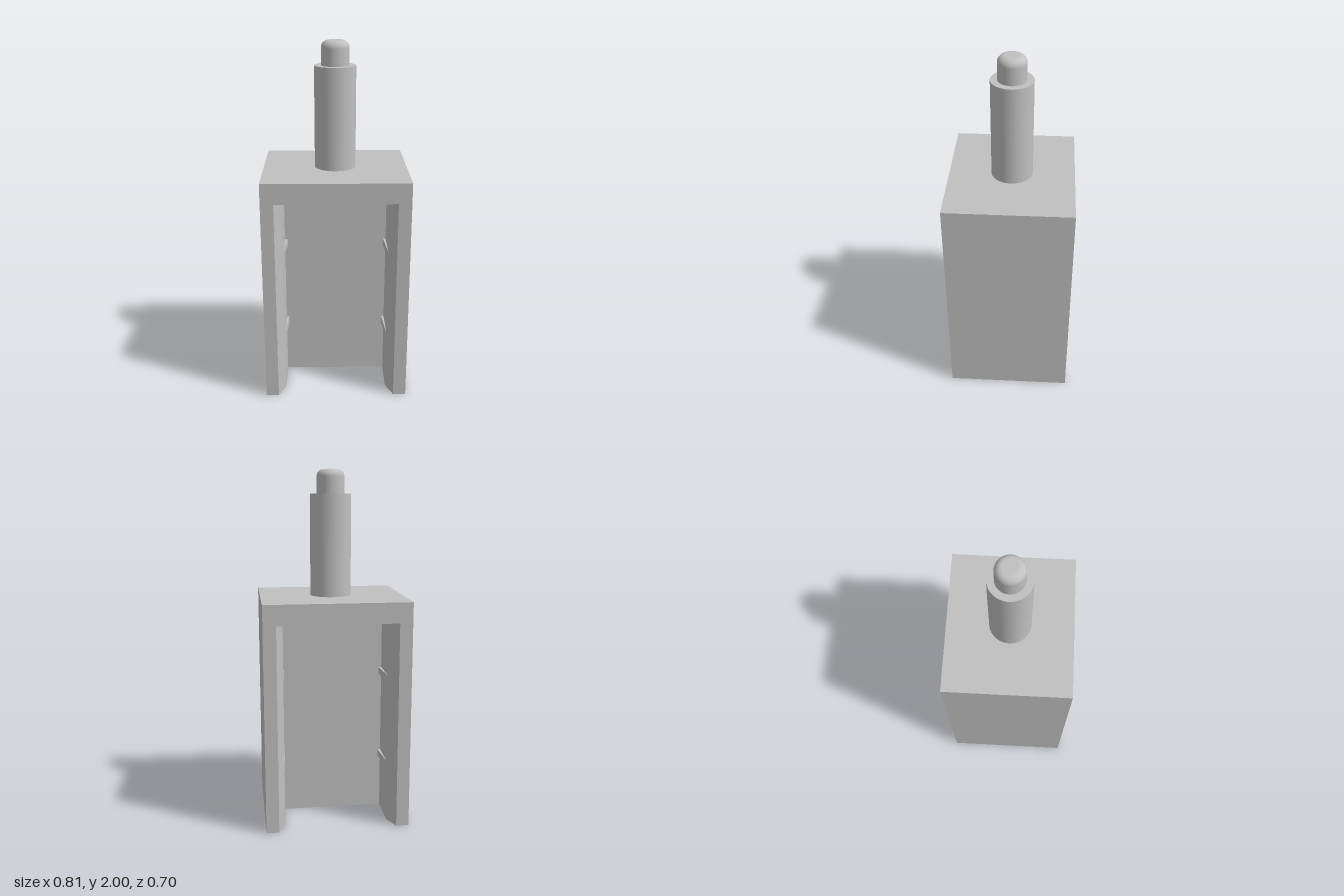
import * as THREE from 'three';

const HX = 0.407, HZ = 0.352;      // half width and half depth of the housing
const TOP = 1.295, ROOF = 1.18;    // housing top and underside of the cap
const WALL_IN = 0.295, MOUTH = 0.335, CHAMFER_Z = 0.26; // wall inner face, flared mouth
const WEB = 0.05;                  // half thickness of the central web

// Extrude an outline given as [x, z] points upward from y0
function prism(points, y0, height) {
  const shape = new THREE.Shape(points.map(([x, z]) => new THREE.Vector2(x, -z)));
  const geo = new THREE.ExtrudeGeometry(shape, { depth: height, bevelEnabled: false });
  return geo.rotateX(-Math.PI / 2).translate(0, y0, 0);
}

export function createModel() {
  const model = new THREE.Group();
  model.name = 'plungerHousing';
  const grey = new THREE.MeshStandardMaterial({ color: 0xc0c0c0 });
  grey.name = 'plain grey';

  const add = (parent, name, geo) => {
    const mesh = new THREE.Mesh(geo, grey);
    mesh.name = name;
    parent.add(mesh);
    return mesh;
  };

  // Cap block across the top
  add(model, 'cap', new THREE.BoxGeometry(2 * HX, TOP - ROOF, 2 * HZ).translate(0, (TOP + ROOF) / 2, 0));

  // Central web between the two slots
  add(model, 'web', new THREE.BoxGeometry(2 * WALL_IN, ROOF, 2 * WEB).translate(0, ROOF / 2, 0));

  // Side walls with flared mouths and ramped catches; the second is turned half round
  for (const side of ['left', 'right']) {
    const wall = new THREE.Group();
    wall.name = side + 'Side';
    add(wall, side + 'Wall', prism([
      [HX, HZ], [HX, -HZ], [MOUTH, -HZ], [WALL_IN, -CHAMFER_Z],
      [WALL_IN, CHAMFER_Z], [MOUTH, HZ],
    ], 0, ROOF));
    for (const y of [0.335, 0.845]) {
      for (const s of [1, -1]) {
        add(wall, 'catch', prism([
          [WALL_IN, s * CHAMFER_Z], [WALL_IN - 0.016, s * WEB], [WALL_IN, s * WEB],
        ], y - 0.02, 0.04));
      }
    }
    if (side === 'right') wall.rotation.y = Math.PI;
    model.add(wall);
  }

  // Shaft
  add(model, 'shaft', new THREE.CylinderGeometry(0.116, 0.116, 1.865 - TOP, 64).translate(0, (1.865 + TOP) / 2, 0));

  // Tip with a rounded upper rim
  const R = 0.078, F = 0.04;
  const profile = [new THREE.Vector2(R, 1.865)];
  for (let i = 0; i <= 10; i++) {
    const a = (i / 10) * Math.PI / 2;
    profile.push(new THREE.Vector2(R - F + F * Math.cos(a), 2 - F + F * Math.sin(a)));
  }
  profile.push(new THREE.Vector2(0, 2));
  add(model, 'tip', new THREE.LatheGeometry(profile, 64));

  return model;
}
